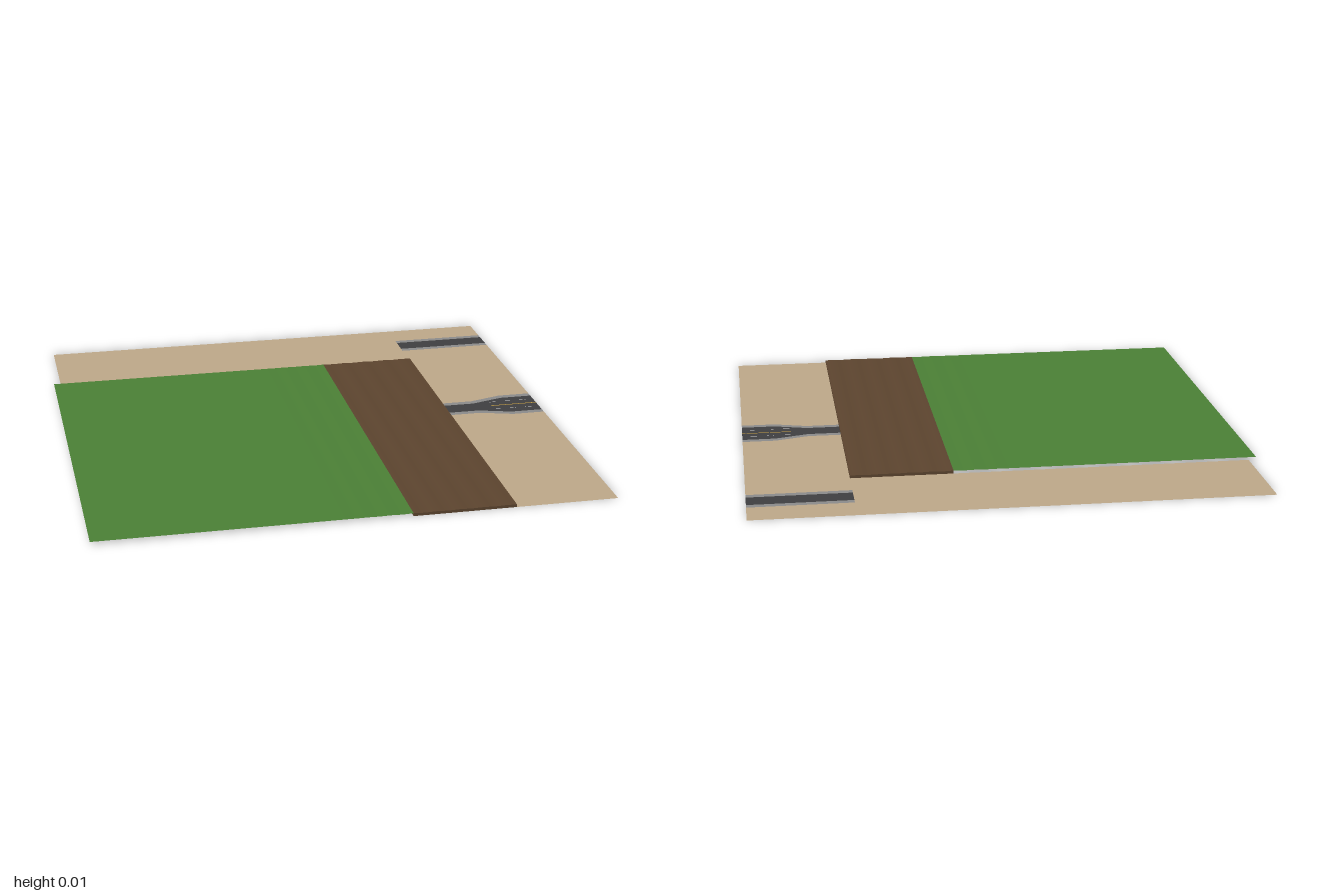
import * as THREE from 'three';

const mat = (color) => new THREE.MeshStandardMaterial({ color, side: THREE.DoubleSide });
const sand = mat(0xbfa98a), grass = mat(0x4c8136), soil = mat(0x5d452f);
const paving = mat(0x8c8c8c), asphalt = mat(0x404042), white = mat(0xd0d0d0), yellow = mat(0xc09a40);

const TOP = 0.011;

// Flat sheet in the ground plane; points are [x, z], holes are lists of points
function sheet(name, points, y, material, holes = []) {
  const toV = (p) => new THREE.Vector2(p[0], -p[1]);
  const shape = new THREE.Shape(points.map(toV));
  holes.forEach((h) => shape.holes.push(new THREE.Path(h.map(toV))));
  const geo = new THREE.ShapeGeometry(shape).rotateX(-Math.PI / 2).translate(0, y, 0);
  const mesh = new THREE.Mesh(geo, material);
  mesh.name = name;
  return mesh;
}

const rect = (x0, x1, z0, z1) => [[x0, z0], [x1, z0], [x1, z1], [x0, z1]];

// One edge of a road as [x, half width]; the wide road flares towards x = 1
const edge = (half, flare) => flare
  ? [[0.6, half], [0.733, half], [0.866, half + 0.04], [1, half + 0.04]]
  : [[0.6, half], [1, half]];

// Strip lying between two edges on one side of the road
function strip(zc, side, inner, outer) {
  return [
    ...inner.map(([x, w]) => [x, zc + side * w]),
    ...[...outer].reverse().map(([x, w]) => [x, zc + side * w]),
  ];
}

function road(name, zc, flare) {
  const g = new THREE.Group();
  g.name = name;
  const kerb = edge(0.04, flare), outer = edge(0.067, flare);
  const mirrored = [...kerb].reverse().map(([x, w]) => [x, zc - w]);
  g.add(sheet('asphalt', [...kerb.map(([x, w]) => [x, zc + w]), ...mirrored], 0, asphalt));
  for (const s of [-1, 1]) {
    g.add(sheet('pavement', strip(zc, s, kerb, outer), 0, paving));
    if (flare) {
      // Broken lane lines
      for (let i = 0; i < 3; i++) {
        const x = 0.805 + i * 0.0667, z = zc + s * 0.04;
        g.add(sheet('laneDash', rect(x, x + 0.028, z - 0.002, z + 0.002), 0.0006, white));
      }
    }
  }
  if (flare) g.add(sheet('centreLine', rect(0.8, 1, zc - 0.003, zc + 0.003), 0.0006, yellow));
  return g;
}

// Surface height with very shallow furrows
const height = (x) => TOP + 0.0007 * Math.sin(x * 70) * Math.min(1, Math.max(0, (x + 0.05) * 4));

export function createModel() {
  const model = new THREE.Group();
  model.name = 'terrainTile';

  // Bare ground: back strip and right strip, open where the roads lie
  model.add(sheet('backGround', rect(-0.97, 0.6, -1, -0.6), 0, sand));
  const flared = edge(0.067, true);
  const cut = [...flared.map(([x, w]) => [x, w]), ...[...flared].reverse().map(([x, w]) => [x, -w])];
  const half = cut.length / 2;
  model.add(sheet('rightGroundCorner', rect(0.6, 1, -1, -0.867), 0, sand));
  model.add(sheet('rightGroundMiddle', [[0.6, -0.733], [1, -0.733], ...cut.slice(half)], 0, sand));
  model.add(sheet('rightGroundFront', [...cut.slice(0, half), [1, 1], [0.6, 1]], 0, sand));

  model.add(road('narrowRoad', -0.8, false));
  model.add(road('wideRoad', 0, true));

  // Raised grass field, a thin sheet furrowed towards the soil
  const field = new THREE.PlaneGeometry(1.2, 1.6, 80, 1).rotateX(-Math.PI / 2).translate(-0.4, 0, 0.2);
  const pos = field.attributes.position;
  for (let i = 0; i < pos.count; i++) pos.setY(i, height(pos.getX(i)));
  field.computeVertexNormals();
  const fieldMesh = new THREE.Mesh(field, grass);
  fieldMesh.name = 'grassField';
  model.add(fieldMesh);

  // Soil bank: furrowed profile run from back to front
  const profile = new THREE.Shape();
  profile.moveTo(0.6, 0);
  for (let i = 40; i >= 0; i--) {
    const x = 0.2 + i * 0.01;
    profile.lineTo(x, height(x));
  }
  profile.lineTo(0.2, 0);
  const bank = new THREE.ExtrudeGeometry(profile, { depth: 1.6, bevelEnabled: false }).translate(0, 0, -0.6);
  const bankMesh = new THREE.Mesh(bank, soil);
  bankMesh.name = 'soilBank';
  model.add(bankMesh);

  return model;
}
